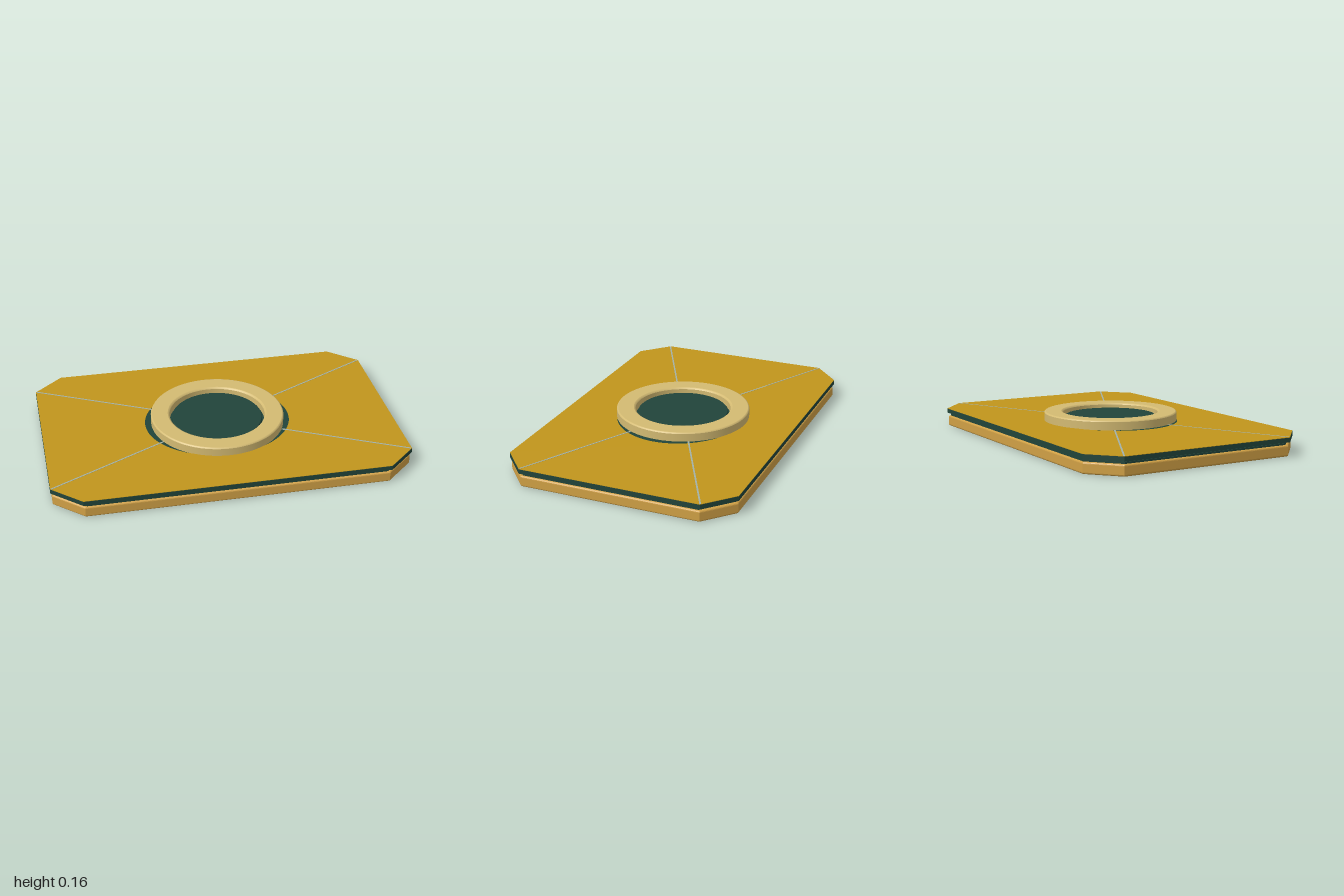
import * as THREE from 'three';

const mat = (color) => new THREE.MeshStandardMaterial({ color });

// Rectangle with cut corners, half extents hx by hz
function plateShape(hx, hz, cx = 0.16, cz = 0.145) {
  return new THREE.Shape([
    [hx, -hz + cz], [hx, hz - cz], [hx - cx, hz], [-hx + cx, hz],
    [-hx, hz - cz], [-hx, -hz + cz], [-hx + cx, -hz], [hx - cx, -hz],
  ].map(([x, y]) => new THREE.Vector2(x, y)));
}

// Flat extrusion standing between y0 and y1, with an optional rounded edge
function slab(name, shape, y0, y1, material, bevel = 0) {
  const geo = new THREE.ExtrudeGeometry(shape, {
    depth: y1 - y0 - 2 * bevel, curveSegments: 48,
    bevelEnabled: bevel > 0, bevelThickness: bevel, bevelSize: bevel,
    bevelOffset: -bevel, bevelSegments: 4,
  });
  geo.rotateX(-Math.PI / 2);
  geo.translate(0, y0 + bevel, 0);
  const mesh = new THREE.Mesh(geo, material);
  mesh.name = name;
  return mesh;
}

// Turned part from [radius, height] pairs
function turned(name, points, material) {
  const pts = points.map(([r, y]) => new THREE.Vector2(r, y));
  const mesh = new THREE.Mesh(new THREE.LatheGeometry(pts, 72), material);
  mesh.name = name;
  return mesh;
}

export function createModel() {
  const group = new THREE.Group();
  group.name = 'layeredPlaque';
  const brass = mat(0xd0a045);
  const gold = mat(0xc1951c);
  const paleGold = mat(0xd3ba72);
  const green = mat(0x21443a);
  const silver = mat(0xa3b1a6);

  // Stacked base plates
  group.add(slab('basePlate', plateShape(0.992, 0.65), 0, 0.062, brass, 0.01));
  group.add(slab('innerPlate', plateShape(0.98, 0.64), 0.055, 0.072, green));
  group.add(slab('spacer', plateShape(0.9, 0.56), 0.07, 0.08, green));
  group.add(slab('upperPlate', plateShape(1, 0.655), 0.078, 0.103, green));

  // Gold face with an oval opening around the ring
  const face = plateShape(0.999, 0.654);
  const opening = new THREE.Path();
  opening.absellipse(0, 0, 0.415, 0.37, 0, Math.PI * 2, true);
  face.holes.push(opening);
  group.add(slab('facePanel', face, 0.103, 0.105, gold));

  // Thin inlaid lines from the ring to the corners
  const start = new THREE.Vector2(0.34, 0.174);
  const end = new THREE.Vector2(0.994, 0.509);
  const mid = start.clone().add(end).multiplyScalar(0.5);
  const angle = Math.atan2(end.y - start.y, end.x - start.x);
  for (const sx of [1, -1]) {
    for (const sz of [1, -1]) {
      const line = new THREE.Mesh(
        new THREE.BoxGeometry(start.distanceTo(end), 0.003, 0.009), silver);
      line.position.set(sx * mid.x, 0.1045, sz * mid.y);
      line.rotation.y = -sx * sz * angle;
      line.name = 'inlayLine';
      group.add(line);
    }
  }

  // Raised ring with softened edges, repeated points keep the bevels crisp
  group.add(turned('ring', [
    [0.38, 0.103], [0.38, 0.148], [0.38, 0.148], [0.377, 0.153],
    [0.372, 0.155], [0.372, 0.155], [0.283, 0.155], [0.283, 0.155],
    [0.276, 0.152], [0.272, 0.146], [0.272, 0.146], [0.272, 0.103],
  ], paleGold));

  // Recessed centre disc
  group.add(turned('centreDisc', [
    [0.258, 0.103], [0.258, 0.126], [0.258, 0.126], [0.254, 0.13],
    [0.254, 0.13], [0, 0.13],
  ], green));

  return group;
}
